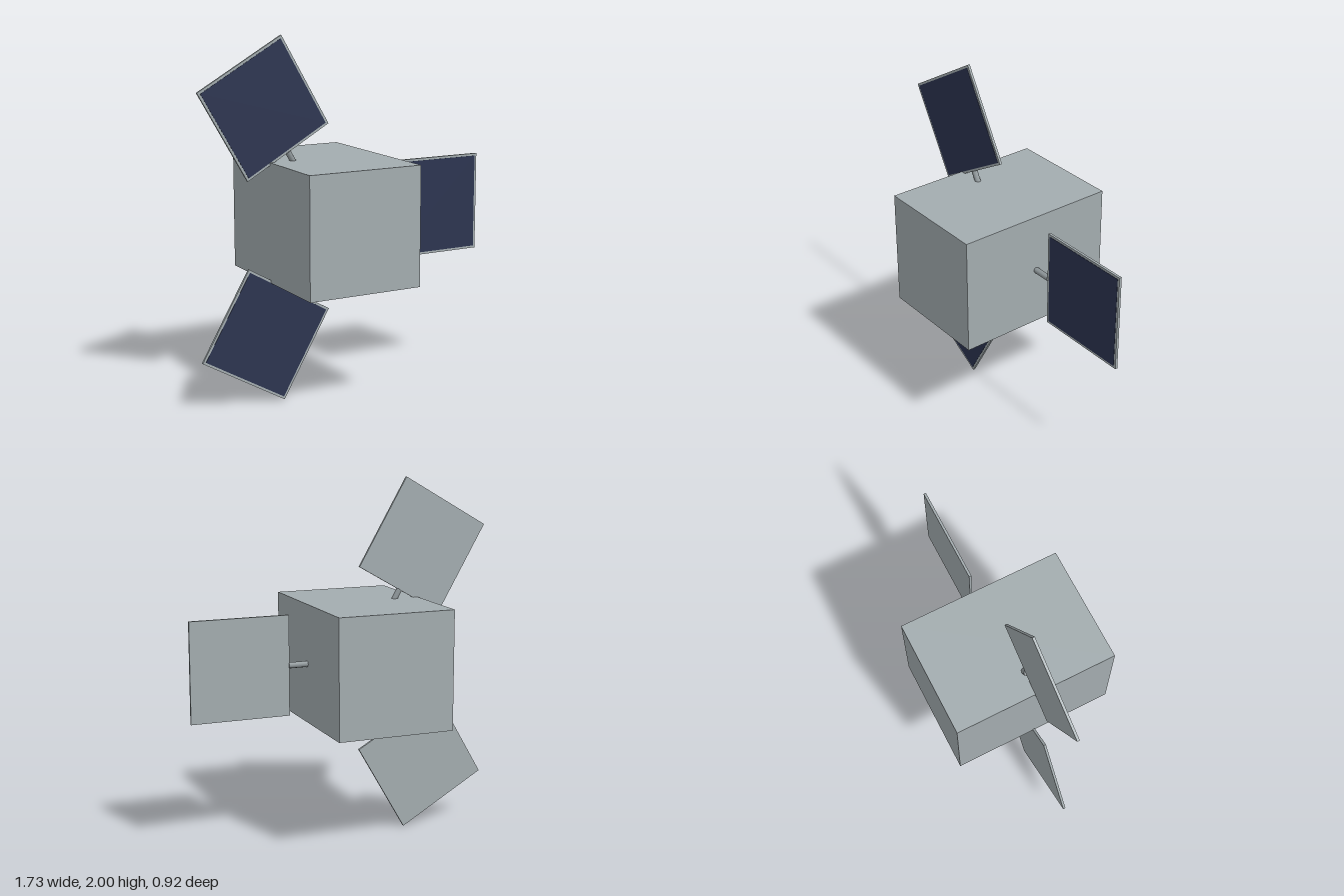
import * as THREE from 'three';

const mat = (name, color) => {
  const m = new THREE.MeshStandardMaterial({ color });
  m.name = name;
  return m;
};

export function createModel() {
  const hullGrey = mat('hull grey', 0xa3acaf);
  const armGrey = mat('arm grey', 0x8f979a);
  const cellBlue = mat('cell blue', 0x2c3450);

  const part = (name, geometry, material, x, y, z, parent) => {
    const mesh = new THREE.Mesh(geometry, material);
    mesh.name = name;
    mesh.position.set(x, y, z);
    parent.add(mesh);
    return mesh;
  };

  const model = new THREE.Group();
  model.name = 'satellite';
  const cx = -0.128, cy = 1;

  // Box hull, long along z
  part('body', new THREE.BoxGeometry(0.66, 0.66, 0.924), hullGrey, cx, cy, 0, model);

  // Three solar wings spaced evenly around the hull's long axis
  const side = 0.558, thick = 0.014, reach = 0.715, inset = 0.013;
  const armStart = 0.3, armEnd = reach - side / 2 + 0.002;
  const armGeo = new THREE.CylinderGeometry(0.017, 0.017, armEnd - armStart, 8).rotateZ(-Math.PI / 2);
  const frameGeo = new THREE.BoxGeometry(side, side, thick);
  const cellGeo = new THREE.BoxGeometry(side - 2 * inset, side - 2 * inset, 0.003);

  for (let i = 0; i < 3; i++) {
    const wing = new THREE.Group();
    wing.name = 'solarWing' + (i + 1);
    wing.position.set(cx, cy, 0);
    wing.rotation.z = (i * 2 * Math.PI) / 3;
    part('arm', armGeo, armGrey, (armStart + armEnd) / 2, 0, 0, wing);
    part('panelFrame', frameGeo, hullGrey, reach, 0, 0, wing);
    // Cells on the front face only
    part('solarCells', cellGeo, cellBlue, reach, 0, thick / 2, wing);
    model.add(wing);
  }
  return model;
}
